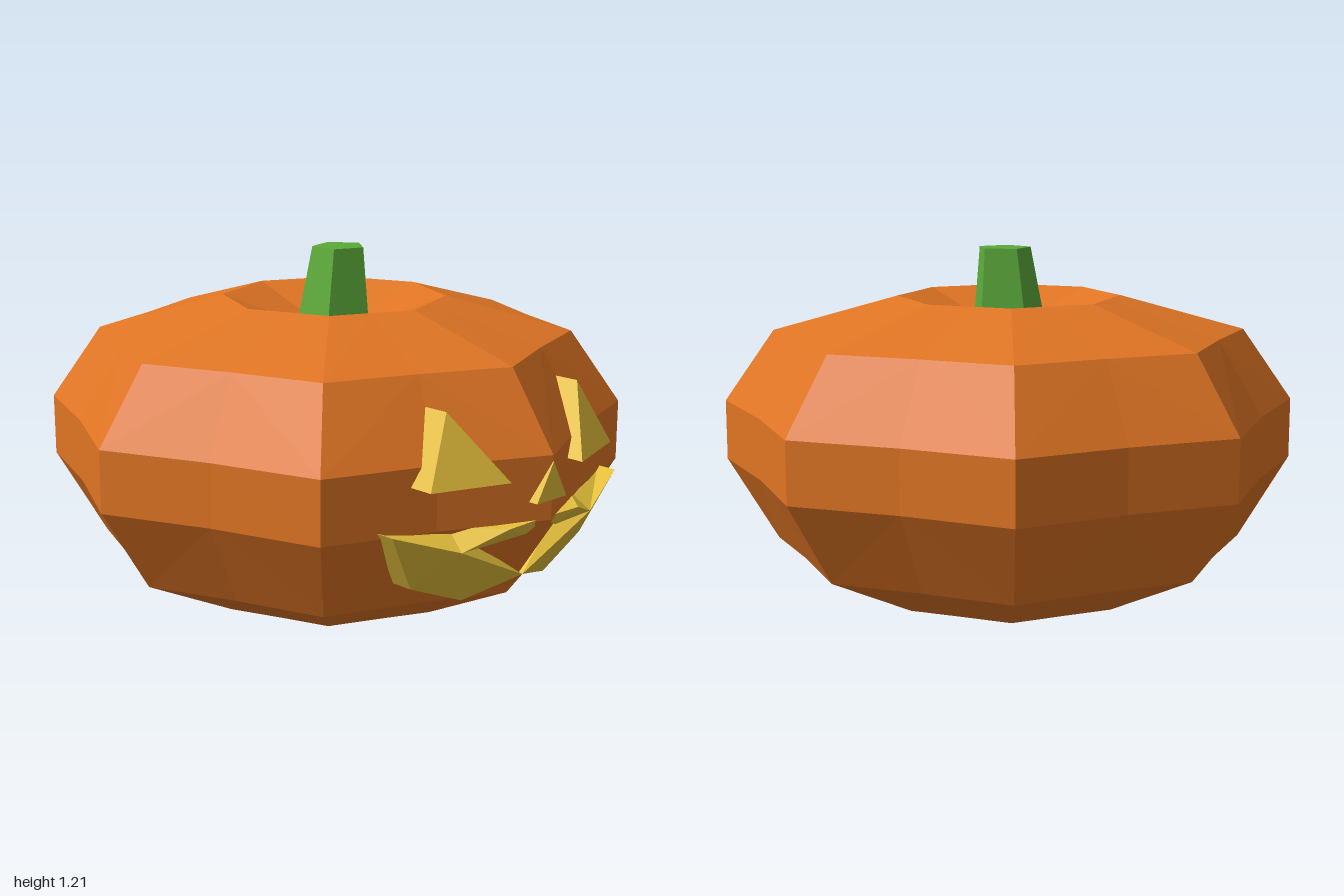
import * as THREE from 'three';

const mat = (name, color) => {
  const m = new THREE.MeshStandardMaterial({ color, flatShading: true });
  m.name = name;
  return m;
};

// Non-indexed geometry from a list of corner points, three per face
function facets(corners) {
  const g = new THREE.BufferGeometry();
  g.setAttribute('position', new THREE.Float32BufferAttribute(corners.flat(), 3));
  g.computeVertexNormals();
  return g;
}

// Ribbed shell: eight ridges with shallow valleys between, stacked in rings
function pumpkinGeometry() {
  // radius, height, valley ratio
  const rings = [
    [0, 0, 1], [0.48, 0, 0.92], [0.825, 0.17, 0.912], [1, 0.46, 0.906], [1, 0.67, 0.906],
    [0.825, 0.92, 0.912], [0.39, 1.04, 0.92], [0.17, 0.96, 0.92], [0, 0.93, 1],
  ];
  const point = ([r, y, valley], i) => {
    const a = (i * Math.PI) / 8;
    const s = i % 2 ? r * valley : r;
    return [Math.sin(a) * s, y, Math.cos(a) * s];
  };
  const out = [];
  for (let k = 0; k < rings.length - 1; k++) {
    for (let i = 0; i < 16; i++) {
      const a = point(rings[k], i), b = point(rings[k], i + 1);
      const c = point(rings[k + 1], i + 1), d = point(rings[k + 1], i);
      // diagonals mirror about each ridge
      const tris = i % 2 ? [[a, b, d], [b, c, d]] : [[a, b, c], [a, c, d]];
      for (const [p, q, r] of tris) {
        const flat = (k === 0 && p === a && q === b) || (k === rings.length - 2 && r === d && q === c);
        if (!flat) out.push(p, q, r);
      }
    }
  }
  return facets(out);
}

// Faceted slab: front triangles plus side walls running back into the shell
function slab(front, tris, edges, depth, side = 1, backs = {}) {
  const flip = ([x, y, z]) => [x * side, y, z];
  const F = (k) => flip(front[k]);
  const B = (k) => flip(backs[k] || [front[k][0], front[k][1], front[k][2] - depth]);
  const out = [];
  const add = (a, b, c) => (side > 0 ? out.push(a, b, c) : out.push(a, c, b));
  for (const [a, b, c] of tris) add(F(a), F(b), F(c));
  for (const [a, b] of edges) {
    add(F(a), B(a), B(b));
    add(F(a), B(b), F(b));
  }
  return facets(out);
}

export function createModel() {
  const group = new THREE.Group();
  const orange = mat('pumpkinOrange', 0xe07524);
  const yellow = mat('glowYellow', 0xe6c03c);
  yellow.side = THREE.DoubleSide;
  const green = mat('stemGreen', 0x5cab3a);
  const add = (name, geometry, material) => {
    const m = new THREE.Mesh(geometry, material);
    m.name = name;
    group.add(m);
    return m;
  };

  add('pumpkinBody', pumpkinGeometry(), orange);

  // Five-sided stem, leaning slightly toward +x
  const stemGeo = new THREE.CylinderGeometry(0.094, 0.135, 0.28, 5, 1, false, Math.PI / 2);
  const p = stemGeo.attributes.position;
  for (let i = 0; i < p.count; i++) if (p.getY(i) > 0) p.setX(i, p.getX(i) + 0.02);
  add('stem', stemGeo, green).position.set(0.005, 1.07, 0);

  const triangle = [['a', 'b', 'c']];
  const outline = [['a', 'b'], ['b', 'c'], ['c', 'a']];

  // Nose
  add('nose', slab({ a: [0, 0.65, 1.003], b: [-0.07, 0.525, 1.0], c: [0.07, 0.525, 1.0] },
    triangle, outline, 0.09), yellow);

  // Mouth half: corner, lower lip, notch and upper lip
  const mouth = {
    C: [0.535, 0.48, 0.835], A: [0.41, 0.275, 0.79], B: [0.2, 0.19, 0.81], D: [0, 0.25, 0.89],
    E: [0.31, 0.4, 0.91], H: [0.07, 0.42, 0.96], F: [0.165, 0.46, 0.975], G: [0, 0.465, 0.98],
  };
  const mouthFaces = ['CEA', 'AEB', 'BED', 'EFH', 'HFG'].map((s) => [...s]);
  const mouthEdges = ['CA', 'AB', 'BD', 'DE', 'EH', 'HG', 'GF', 'FE', 'EC'].map((s) => [...s]);

  for (const [side, label] of [[1, 'left'], [-1, 'right']]) {
    add(label + 'Eye', slab({ a: [0.31, 0.83, 0.835], b: [0.17, 0.61, 0.98], c: [0.43, 0.61, 0.89] },
      triangle, outline, 0.088, side), yellow);
    const m = slab(mouth, mouthFaces.map(([a, b, c]) => [a, c, b]), mouthEdges, 0.075, side,
      { E: [0.29, 0.46, 0.83] });
    add(label + 'Mouth', m, yellow);
  }
  return group;
}
